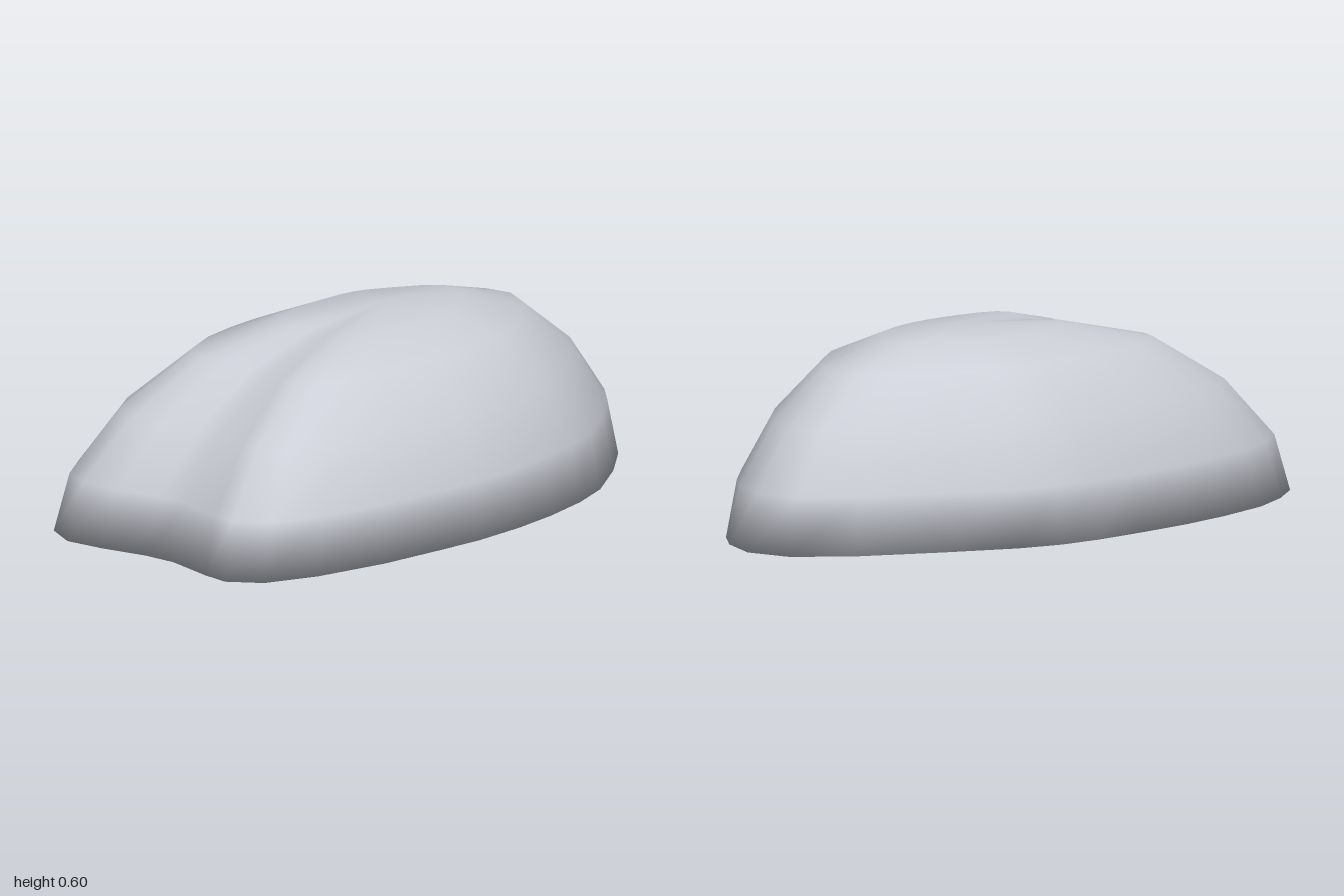
import * as THREE from 'three';

// Rim outline on the ground, as [x, z], with a blunt tip at +x and a notch at -x
const RIM = [
  [1, 0], [0.965, -0.145], [0.82, -0.28], [0.58, -0.42], [0.36, -0.535], [0.22, -0.58],
  [0.08, -0.597], [-0.1, -0.6], [-0.3, -0.595], [-0.48, -0.575], [-0.68, -0.535],
  [-0.83, -0.47], [-0.95, -0.39], [-1, -0.28], [-0.98, -0.15], [-0.94, 0], [-0.93, 0.11],
  [-0.96, 0.28], [-0.965, 0.37], [-0.89, 0.465], [-0.72, 0.53], [-0.48, 0.575],
  [-0.25, 0.592], [-0.1, 0.6], [0.08, 0.59], [0.24, 0.567], [0.41, 0.525], [0.55, 0.47],
  [0.72, 0.355], [0.86, 0.235], [0.94, 0.14],
];

// Rings from the flat underside up to the top: [scale about the apex, height, valley depth]
const RINGS = [
  [0.72, 0, 0], [1, 0, 0], [0.953, 0.177, 0.008], [0.803, 0.363, 0.028],
  [0.588, 0.512, 0.036], [0.325, 0.578, 0.015],
];
const APEX = new THREE.Vector3(0.1, 0.6, 0);

function domeGeometry() {
  const n = RIM.length;
  const positions = [], indices = [];
  for (const [scale, height, depth] of RINGS) {
    for (const [x, z] of RIM) {
      // A soft valley runs from the notch towards the apex
      const angle = Math.atan2(z - 0.05, APEX.x - x);
      const valley = depth * Math.exp(-((angle / 0.19) ** 2));
      const s = scale * (1 - valley);
      positions.push(APEX.x + (x - APEX.x) * s, height * (1 - valley), z * s);
    }
  }
  // Apex and the centre of the underside
  const top = RINGS.length * n, base = top + 1;
  positions.push(APEX.x, APEX.y, APEX.z, APEX.x, 0, APEX.z);

  for (let j = 0; j < n; j++) {
    const k = (j + 1) % n;
    indices.push(base, k, j);
    for (let r = 0; r < RINGS.length - 1; r++) {
      const a = r * n + j, b = r * n + k;
      indices.push(a, b, b + n, a, b + n, a + n);
    }
    indices.push(top - n + j, top - n + k, top);
  }
  const geometry = new THREE.BufferGeometry();
  geometry.setAttribute('position', new THREE.Float32BufferAttribute(positions, 3));
  geometry.setIndex(indices);
  geometry.computeVertexNormals();
  return geometry;
}

export function createModel() {
  const group = new THREE.Group();
  group.name = 'notchedDome';
  const grey = new THREE.MeshStandardMaterial({ color: 0xcbced6 });
  grey.name = 'light grey';

  // Closed dome, smooth over the rim
  const dome = new THREE.Mesh(domeGeometry(), grey);
  dome.name = 'dome';
  group.add(dome);
  return group;
}
